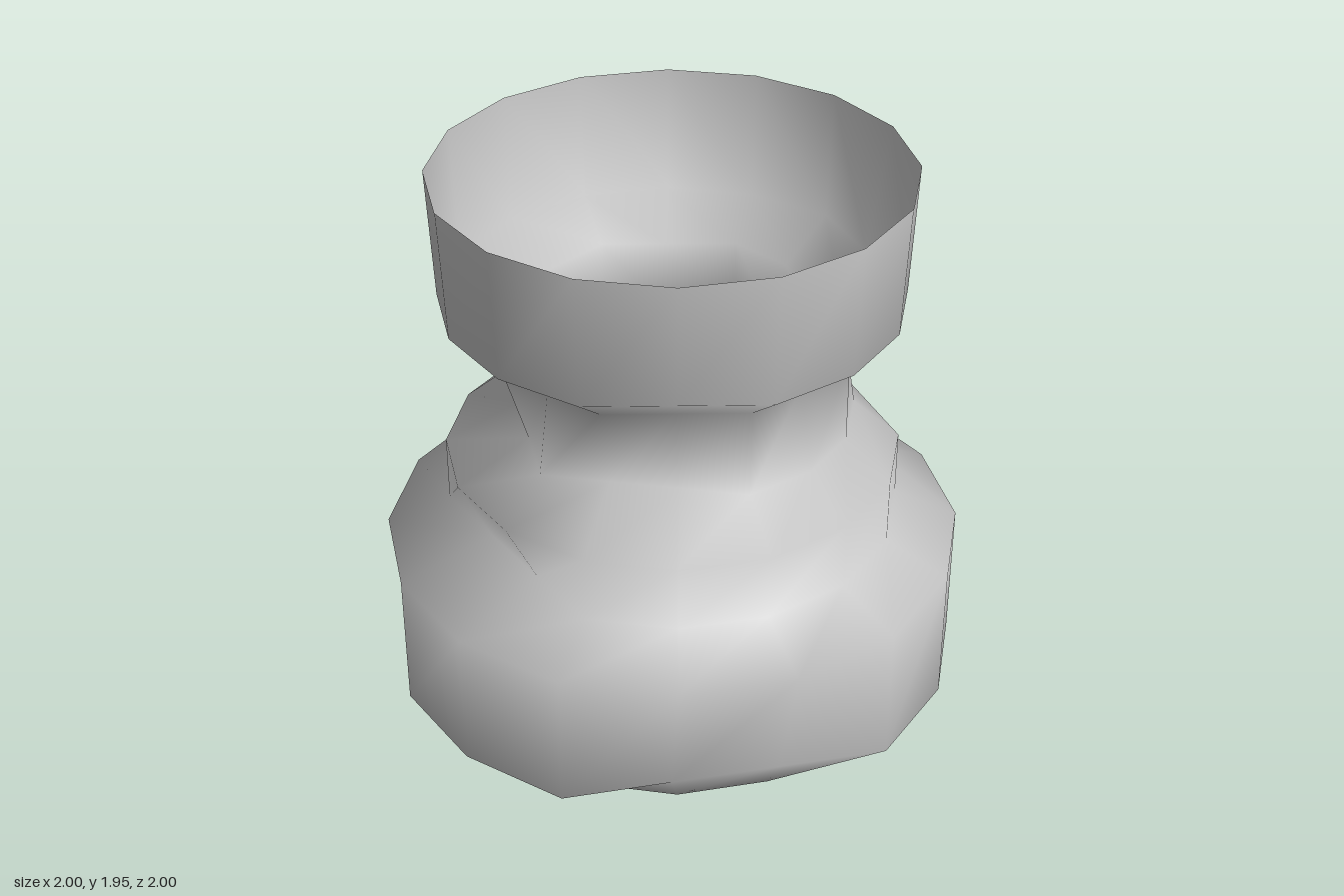
import * as THREE from 'three';

const SIDES = 16;

// Rings from bottom to top: height, radius, and the corners cut off to a straight chord.
// Corner 0 is +x, 4 is +z, 8 is -x, 12 is -z.
const RINGS = [
  { y: 0.005, r: 0.6, cut: [] },                            // underside
  { y: 0.015, r: 0.8, cut: [] },                            // foot
  { y: 0.115, r: 1.0, cut: [0, 4, 5, 9] },                  // base bottom
  { y: 0.6, r: 1.0, cut: [] },                              // base top
  { y: 0.695, r: 0.78, cut: [7, 8, 11, 12] },               // shoulder bottom
  { y: 0.93, r: 0.78, cut: [0] },                           // shoulder top
  { y: 1.07, r: 0.62, cut: [5, 6, 8, 9, 15] },              // neck bottom
  { y: 1.38, r: 0.62, cut: [1, 3, 5, 7, 9, 11, 13, 15] },   // neck top
  { y: 1.5, r: 0.78, cut: [0, 5] },                         // cup bottom
  { y: 1.95, r: 0.8, cut: [] },                             // cup rim
];

// Points of one ring; a cut corner lies on the chord between its kept neighbours
function ringPoints({ y, r, cut }) {
  const corner = (k) => {
    const a = (k / SIDES) * Math.PI * 2;
    return new THREE.Vector3(r * Math.cos(a), y, r * Math.sin(a));
  };
  const isCut = (k) => cut.includes((k + SIDES) % SIDES);
  return Array.from({ length: SIDES }, (_, k) => {
    if (!isCut(k)) return corner(k);
    let lo = k, hi = k;
    while (isCut(lo)) lo--;
    while (isCut(hi)) hi++;
    return corner(lo).lerp(corner(hi), (k - lo) / (hi - lo));
  });
}

export function createModel() {
  const points = [new THREE.Vector3(0, 0.003, 0)];
  const index = [];
  RINGS.forEach((ring) => points.push(...ringPoints(ring)));
  const id = (ring, k) => 1 + ring * SIDES + (k % SIDES);

  for (let k = 0; k < SIDES; k++) {
    // closed underside
    index.push(0, id(0, k), id(0, k + 1));
    // walls between neighbouring rings
    for (let i = 0; i < RINGS.length - 1; i++) {
      const a = id(i, k), b = id(i, k + 1), c = id(i + 1, k), d = id(i + 1, k + 1);
      index.push(a, c, b, b, c, d);
    }
  }

  const geometry = new THREE.BufferGeometry().setFromPoints(points);
  geometry.setIndex(index);
  geometry.computeVertexNormals();

  // thin hollow shell, open at the rim
  const material = new THREE.MeshStandardMaterial({ color: 0xcccccc, side: THREE.DoubleSide });
  const vessel = new THREE.Mesh(geometry, material);
  vessel.name = 'vessel';

  const group = new THREE.Group();
  group.name = 'openVessel';
  group.add(vessel);
  return group;
}
